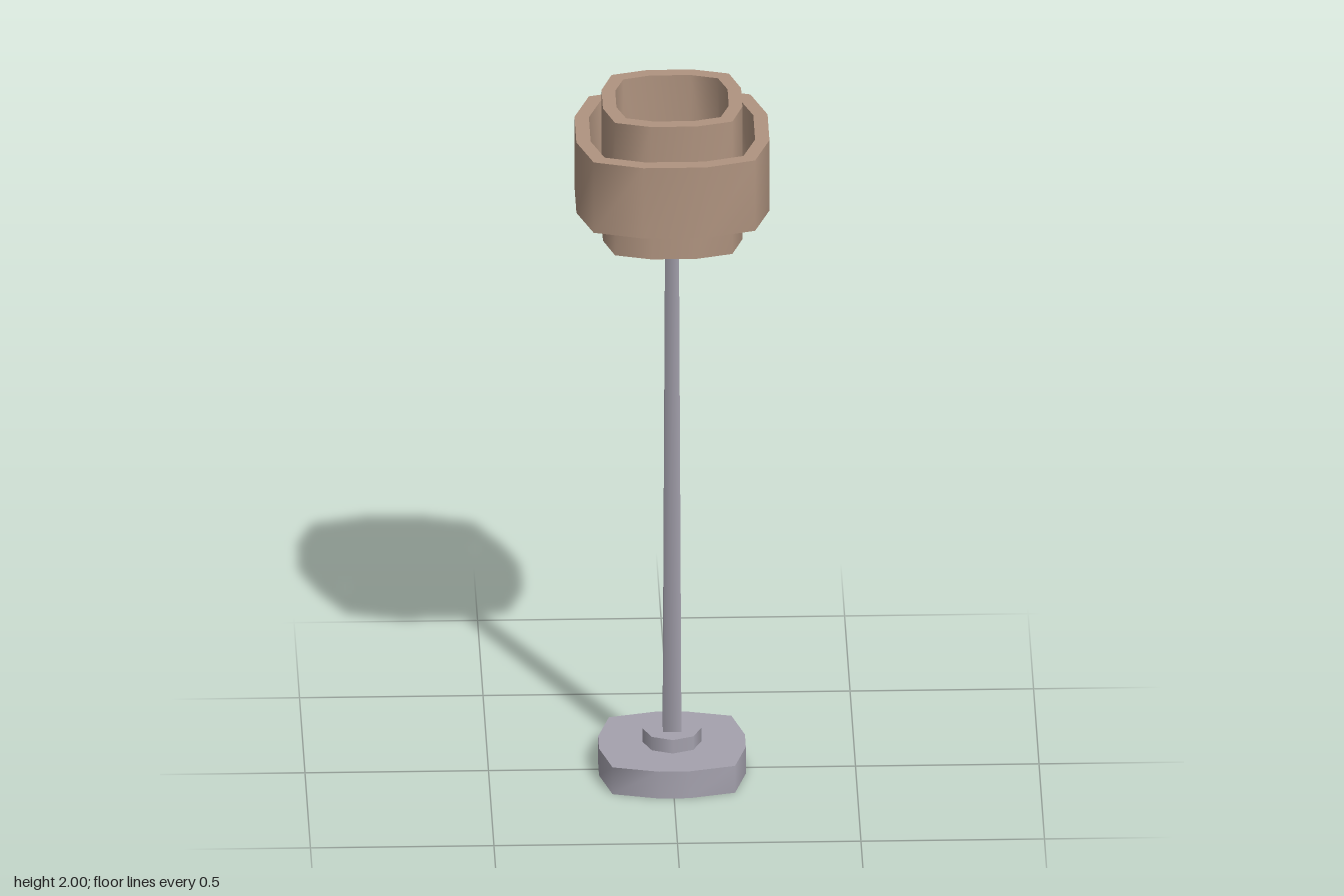
import * as THREE from 'three';

const copper = new THREE.MeshStandardMaterial({ color: 0xb09480, side: THREE.DoubleSide });
copper.name = 'warm copper';
const metal = new THREE.MeshStandardMaterial({ color: 0xa5a2ae, side: THREE.DoubleSide });
metal.name = 'grey metal';
const glow = new THREE.MeshStandardMaterial({ color: 0xd6cb9f });
glow.name = 'pale yellow';

function addMesh(parent, name, geometry, material, y = 0) {
  const mesh = new THREE.Mesh(geometry, material);
  mesh.name = name;
  mesh.position.y = y;
  parent.add(mesh);
  return mesh;
}

// Twelve-sided rounded square: half width, half length of the flat side, corner distance
function outline(half, flat, corner) {
  const points = [];
  for (let i = 0; i < 4; i++) {
    for (const [x, y] of [[half, -flat], [half, flat], [corner, corner]]) {
      points.push(new THREE.Vector2(x, y).rotateAround(new THREE.Vector2(), i * Math.PI / 2));
    }
  }
  return points;
}

// Smooth upright wall along a closed outline; inward walls face the centre
function wall(points, bottom, top, inward = false) {
  const n = points.length, positions = [], index = [];
  points.forEach((p) => positions.push(p.x, bottom, -p.y, p.x, top, -p.y));
  for (let i = 0; i < n; i++) {
    const a = 2 * i, b = 2 * ((i + 1) % n);
    if (inward) index.push(a, b + 1, b, a, a + 1, b + 1);
    else index.push(a, b, b + 1, a, b + 1, a + 1);
  }
  const geometry = new THREE.BufferGeometry();
  geometry.setAttribute('position', new THREE.Float32BufferAttribute(positions, 3));
  geometry.setIndex(index);
  geometry.computeVertexNormals();
  return geometry;
}

// Flat upward face, with an optional hole
function cap(points, hole) {
  const shape = new THREE.Shape(points);
  if (hole) shape.holes.push(new THREE.Path(hole));
  return new THREE.ShapeGeometry(shape).rotateX(-Math.PI / 2);
}

// Shade ring: outer wall, inner wall and top rim, open underneath
function shadeRing(name, outer, inner, bottom, top) {
  const ring = new THREE.Group();
  ring.name = name;
  addMesh(ring, 'outerWall', wall(outer, bottom, top), copper);
  addMesh(ring, 'innerWall', wall(inner, bottom, top, true), copper);
  addMesh(ring, 'topRim', cap(outer, inner), copper, top);
  return ring;
}

export function createModel() {
  const lamp = new THREE.Group();
  lamp.name = 'floorLamp';

  // Hollow foot
  const base = new THREE.Group();
  base.name = 'base';
  const foot = outline(0.2, 0.041, 0.167);
  addMesh(base, 'baseWall', wall(foot, 0, 0.08), metal);
  addMesh(base, 'baseTop', cap(foot), metal, 0.08);
  lamp.add(base);

  // Octagonal collar and square tapering pole
  addMesh(lamp, 'collar', new THREE.CylinderGeometry(0.08, 0.08, 0.04, 8), metal, 0.1);
  const pole = new THREE.CylinderGeometry(0.018 * Math.SQRT2, 0.025 * Math.SQRT2, 1.56, 4);
  addMesh(lamp, 'pole', pole.rotateY(Math.PI / 4), metal, 0.9);

  // Bulb
  const bulb = new THREE.SphereGeometry(0.032 * Math.SQRT2, 4, 4).rotateY(Math.PI / 4);
  addMesh(lamp, 'bulb', bulb.scale(1, 1.4, 1), glow, 1.72);

  // Two nested shade rings
  lamp.add(shadeRing('innerShade', outline(0.19, 0.062, 0.16), outline(0.153, 0.055, 0.129), 1.605, 2));
  lamp.add(shadeRing('outerShade', outline(0.263, 0.086, 0.22), outline(0.224, 0.081, 0.189), 1.7, 1.91));

  return lamp;
}
